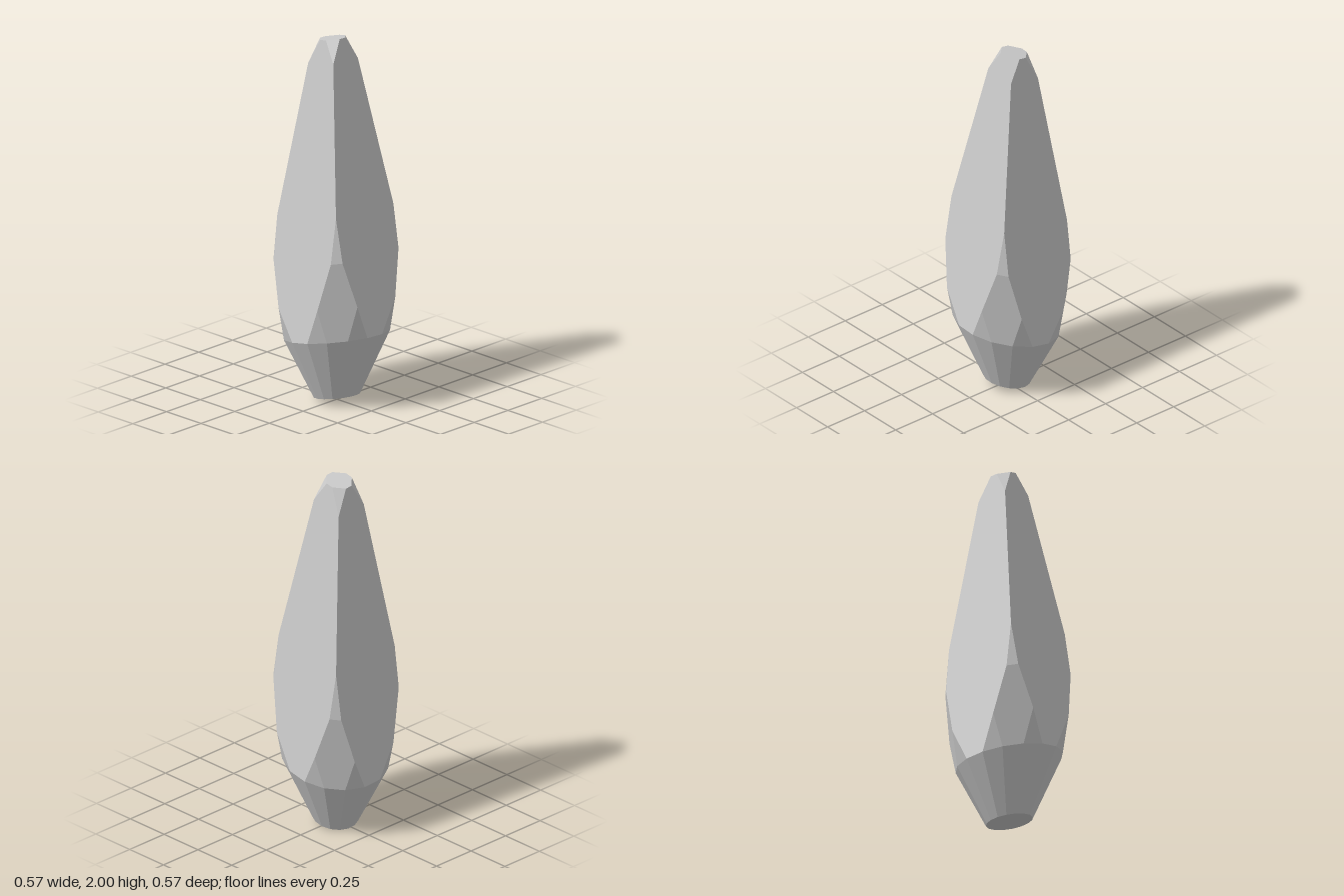
import * as THREE from 'three';

// Outline of one side, as [half width, height, depth]; the other three are quarter turns of it.
const ring = (r, y, step) => {
  const a = (11.25 + 22.5 * step) * Math.PI / 180;
  return [r * Math.sin(a), y, r * Math.cos(a)];
};
const foot = [0, 1, 2, 3].map(i => ring(0.122, 0.026, i));
const belt = [0, 1, 2, 3].map(i => ring(0.28, 0.365, i));
const bulge = [0.14, 0.553, 0.287];
const split = [0.207, 0.805, 0.25];
const ridge = [0.2125, 1.05, 0.2125];
const shoulder = [0.0912, 1.867, 0.0912];
const tip = [0.0205, 1.993, 0.0712];

const mirrorX = ([x, y, z]) => [-x, y, z];
const acrossCorner = ([x, y, z]) => [z, y, x];

// Turn a point to side k, lean the axis slightly and tilt every level.
function place([x, y, z], k) {
  for (let i = 0; i < k; i++) [x, z] = [z, -x];
  const lean = Math.max(0, y - 0.5);
  x += 0.007 * lean;
  z -= 0.027 * lean;
  return new THREE.Vector3(x, y + 0.2 * z - 0.06 * x, z);
}

// Fan each facet from its first corner and give it one shared normal.
function facetMesh(name, facets) {
  const positions = [], normals = [];
  for (let k = 0; k < 4; k++) {
    for (const facet of facets) {
      const pts = facet.map(p => place(p, k));
      const normal = new THREE.Vector3();
      pts.forEach((p, i) => normal.add(p.clone().cross(pts[(i + 1) % pts.length])));
      normal.normalize();
      for (let i = 1; i < pts.length - 1; i++) {
        for (const p of [pts[0], pts[i], pts[i + 1]]) {
          positions.push(...p);
          normals.push(...normal);
        }
      }
    }
  }
  const geo = new THREE.BufferGeometry();
  geo.setAttribute('position', new THREE.Float32BufferAttribute(positions, 3));
  geo.setAttribute('normal', new THREE.Float32BufferAttribute(normals, 3));
  const mesh = new THREE.Mesh(geo, new THREE.MeshStandardMaterial({ color: 0xcccccc }));
  mesh.name = name;
  return mesh;
}

export function createModel() {
  const group = new THREE.Group();
  group.name = 'crystal';

  // Four long sides, each one facet from the belt up to the tip
  const edge = [belt[0], bulge, split, ridge, shoulder, tip];
  group.add(facetMesh('longSides', [[...edge, ...edge.map(mirrorX).reverse()]]));

  // Facets where neighbouring sides meet
  const [bulge2, split2, tip2] = [bulge, split, tip].map(acrossCorner);
  group.add(facetMesh('cornerFacets', [
    [belt[0], belt[1], bulge],
    [belt[2], bulge2, split2, split, bulge, belt[1]],
    [belt[2], belt[3], bulge2],
    [split, split2, ridge],
    [shoulder, tip2, tip],
  ]));

  // Sixteen-sided tapering base
  const baseFacets = [[mirrorX(foot[0]), foot[0], belt[0], mirrorX(belt[0])]];
  for (let i = 0; i < 3; i++) baseFacets.push([foot[i], foot[i + 1], belt[i + 1], belt[i]]);
  group.add(facetMesh('taperedBase', baseFacets));

  // Flat ends
  const top = [0, tip[1], 0], bottom = [0, foot[0][1], 0];
  group.add(facetMesh('topCap', [[top, mirrorX(tip), tip, tip2]]));
  group.add(facetMesh('bottomCap', [[bottom, ...[...foot].reverse(), mirrorX(foot[0])]]));
  return group;
}
